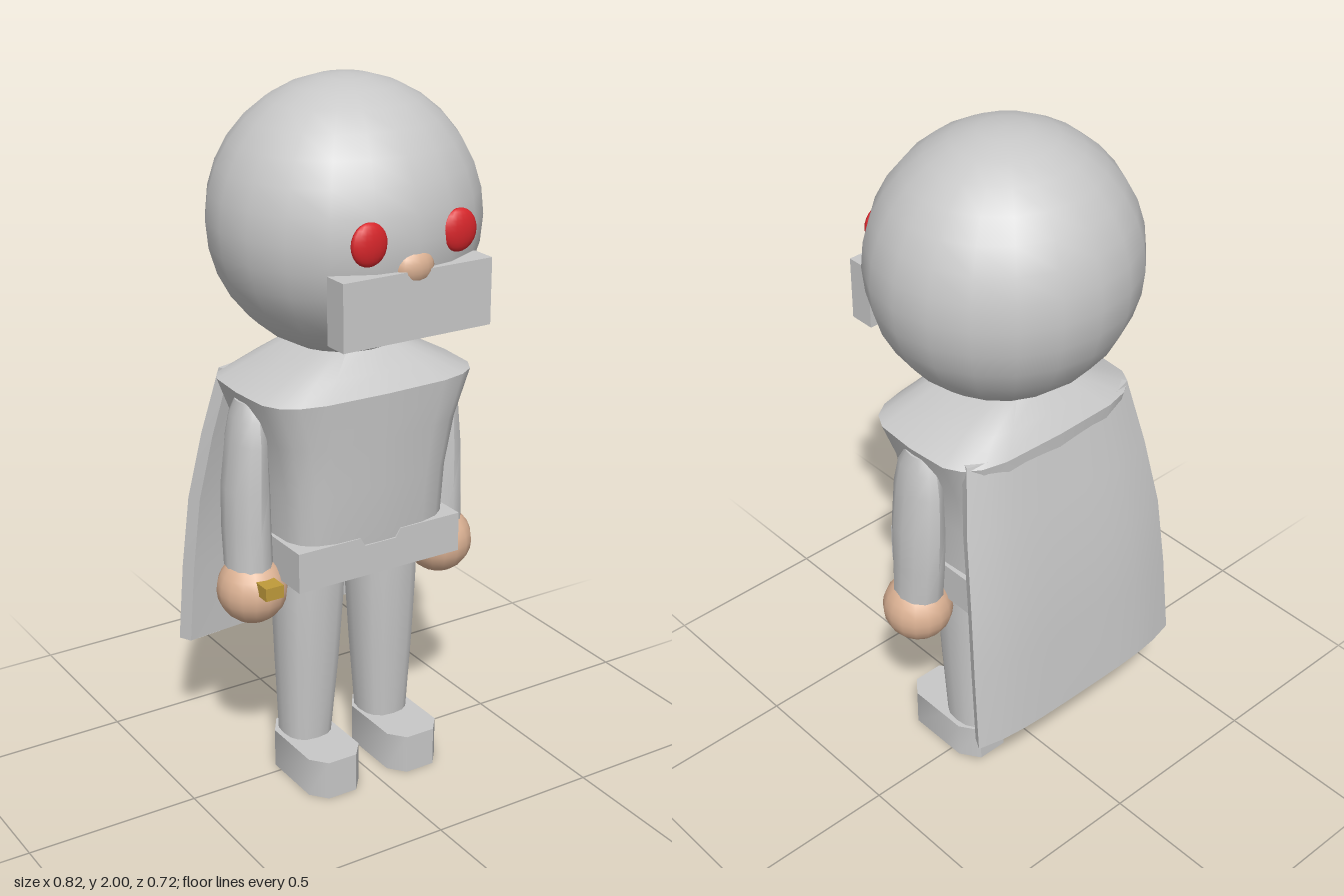
import * as THREE from 'three';
import { mergeVertices, toCreasedNormals } from 'three/addons/utils/BufferGeometryUtils.js';

const mat = (name, color) => {
  const m = new THREE.MeshStandardMaterial({ color });
  m.name = name;
  return m;
};

// Closed ring: superellipse around (cx, y, cz); power 1 is round, smaller is boxier
function ring(y, rx, rz, cx = 0, cz = 0, power = 1, n = 16) {
  const bend = v => Math.sign(v) * Math.pow(Math.abs(v) < 1e-6 ? 0 : Math.abs(v), power);
  return Array.from({ length: n }, (_, i) => {
    const a = (i / n) * Math.PI * 2;
    return [cx + rx * bend(Math.cos(a)), y, cz + rz * bend(Math.sin(a))];
  });
}

// Skin a list of rings from bottom to top and cap both ends
function loft(rings, crease = 0.7) {
  const n = rings[0].length, pos = rings.flat(2), idx = [];
  for (let r = 0; r < rings.length - 1; r++) {
    for (let i = 0; i < n; i++) {
      const a = r * n + i, b = r * n + (i + 1) % n;
      idx.push(a, a + n, b, b, a + n, b + n);
    }
  }
  [0, rings.length - 1].forEach((r, end) => {
    const c = pos.length / 3;
    pos.push(...[0, 1, 2].map(k => rings[r].reduce((s, p) => s + p[k], 0) / n));
    for (let i = 0; i < n; i++) {
      const a = r * n + i, b = r * n + (i + 1) % n;
      if (end) idx.push(c, b, a); else idx.push(c, a, b);
    }
  });
  const g = new THREE.BufferGeometry();
  g.setAttribute('position', new THREE.Float32BufferAttribute(pos, 3));
  g.setIndex(idx);
  return toCreasedNormals(mergeVertices(g), crease);
}

export function createModel() {
  const model = new THREE.Group();
  model.name = 'capedFigure';
  const grey = mat('grey cloth', 0xc8c8c8);
  const skin = mat('skin', 0xdcb294);
  const red = mat('red eyes', 0xd8262b);
  const gold = mat('gold', 0xbf9a3a);

  const add = (name, geometry, material, x = 0, y = 0, z = 0) => {
    const m = new THREE.Mesh(geometry, material);
    m.name = name;
    m.position.set(x, y, z);
    model.add(m);
    return m;
  };
  const ellipsoid = (rx, ry, rz, w = 16, h = 12) => new THREE.SphereGeometry(1, w, h).scale(rx, ry, rz);

  // Head and face
  add('head', ellipsoid(0.373, 0.37, 0.355, 20, 16), grey, 0, 1.63, 0);
  add('nose', ellipsoid(0.06, 0.05, 0.04), skin, 0, 1.565, 0.325);
  add('mask', new THREE.BoxGeometry(0.45, 0.18, 0.075), grey, 0, 1.47, 0.318);

  // Torso, tapering from the shoulders to the waist
  add('torso', loft([
    [0.7, 0.245, 0.18], [0.78, 0.252, 0.19], [0.92, 0.258, 0.2], [1.06, 0.285, 0.21],
    [1.19, 0.335, 0.22], [1.24, 0.235, 0.178], [1.29, 0.13, 0.13],
  ].map(([y, rx, rz]) => ring(y, rx, rz, 0, 0, 0.5, 20))), grey);

  // Belt with a notch at the centre
  const belt = new THREE.Shape([
    [-0.26, 0.66], [0.26, 0.66], [0.26, 0.775], [0.065, 0.775],
    [0.05, 0.75], [-0.05, 0.75], [-0.065, 0.775], [-0.26, 0.775],
  ].map(p => new THREE.Vector2(...p)));
  add('belt', new THREE.ExtrudeGeometry(belt, { depth: 0.38, bevelEnabled: false }), grey, 0, 0, -0.19);

  // Paired parts
  for (const [side, s] of [['left', 1], ['right', -1]]) {
    add(side + 'Eye', ellipsoid(0.053, 0.057, 0.022), red, s * 0.135, 1.64, 0.332);
    add(side + 'Hand', ellipsoid(0.098, 0.098, 0.1), skin, s * 0.31, 0.622, 0.02);
    add(side + 'Arm', loft([
      [0.69, 0.314, 0.064, 0.078, 0.01], [0.8, 0.315, 0.063, 0.084, 0.003],
      [0.92, 0.314, 0.06, 0.088, 0], [1.05, 0.309, 0.048, 0.085, 0],
      [1.12, 0.305, 0.04, 0.072, 0], [1.165, 0.305, 0.027, 0.045, 0],
    ].map(([y, x, rx, rz, z]) => ring(y, rx, rz, s * x, z, 1, 12))), grey);
    add(side + 'Leg', loft([
      [0.1, 0.13, 0.07, 0.075, -0.008], [0.35, 0.125, 0.088, 0.086, -0.002],
      [0.55, 0.122, 0.098, 0.096, 0], [0.7, 0.12, 0.104, 0.1, 0],
    ].map(([y, x, rx, rz, z]) => ring(y, rx, rz, s * x, z, 0.8, 16))), grey);

    // Boot with clipped corners
    const sole = [[0.083, -0.02], [0.083, 0.1], [0.045, 0.147], [-0.045, 0.147],
      [-0.083, 0.1], [-0.083, -0.09], [-0.045, -0.147], [0.045, -0.147], [0.083, -0.09]];
    add(side + 'Boot', loft([0, 0.115].map(y =>
      sole.map(([x, z]) => [s * 0.132 + x, y, 0.057 + z]))), grey);
  }

  // Gold bar held through the right hand
  add('goldBar', new THREE.BoxGeometry(0.055, 0.037, 0.23), gold, -0.312, 0.658, 0.035);

  // Cape: bowed slab that widens towards the hem
  const N = 10;
  const cape = [
    [0.34, 0.375, -0.335], [0.58, 0.368, -0.313], [0.8, 0.355, -0.288],
    [1.0, 0.33, -0.247], [1.2, 0.292, -0.205],
  ].map(([y, w, z]) => {
    const pts = [];
    for (let i = 0; i <= N; i++) {
      const t = 1 - (2 * i) / N;
      pts.push([t * w * 0.95, y, z + 0.043 + 0.022 * t * t]);
    }
    for (let i = 0; i <= N; i++) {
      const t = (2 * i) / N - 1;
      pts.push([t * w, y, z + 0.03 * Math.pow(t, 4)]);
    }
    return pts;
  });
  add('cape', loft(cape), grey);

  return model;
}
